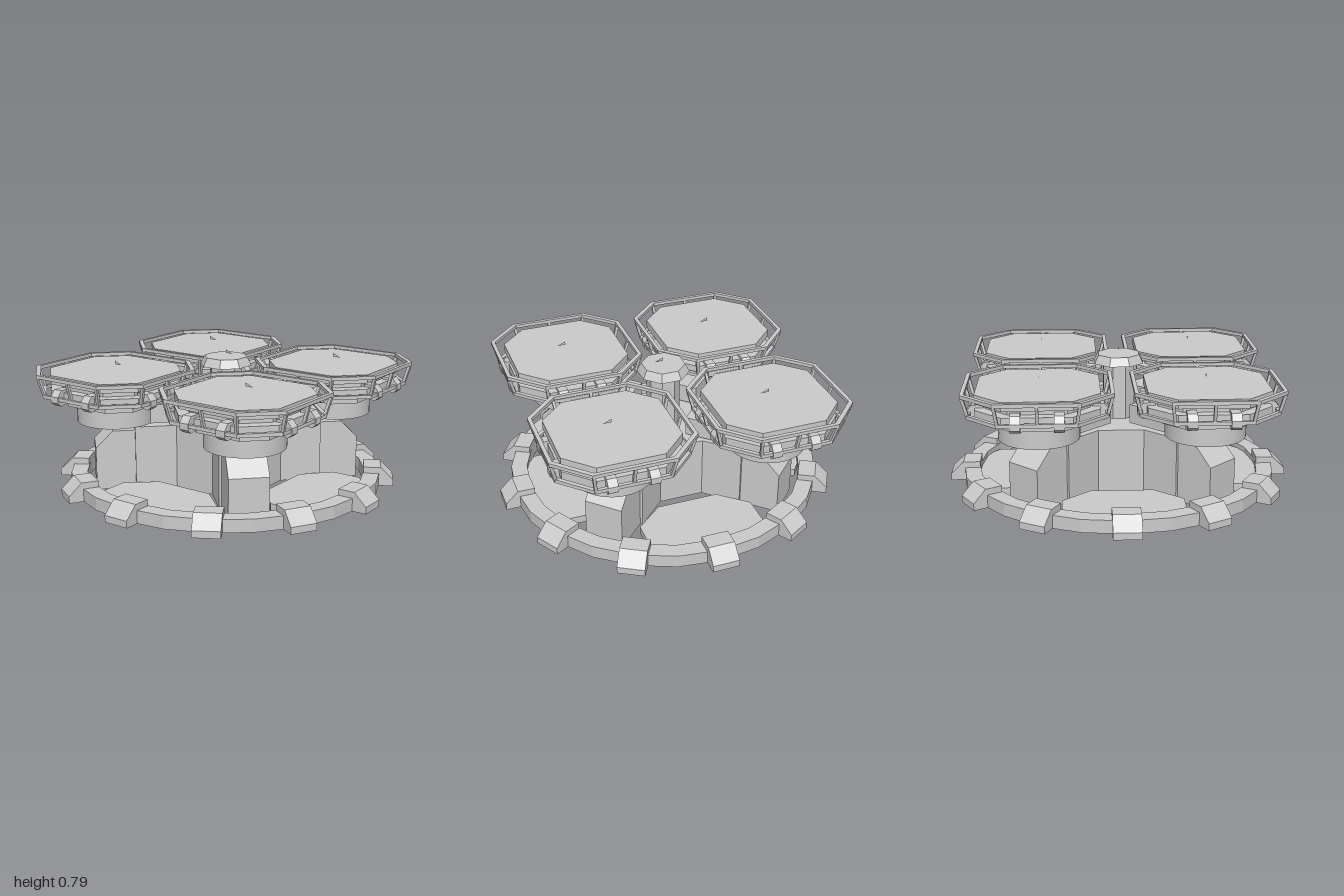
import * as THREE from 'three';

const flat = new THREE.MeshStandardMaterial({ color: 0xcccccc, flatShading: true, side: THREE.DoubleSide });
const smooth = new THREE.MeshStandardMaterial({ color: 0xcccccc, side: THREE.DoubleSide });
const HALF_TURN = Math.PI / 2;

function add(parent, name, geometry, material = flat) {
  const mesh = new THREE.Mesh(geometry, material);
  mesh.name = name;
  parent.add(mesh);
  return mesh;
}

const points = (list) => list.map(([x, y]) => new THREE.Vector2(x, y));

// Square of half-size h with its corners cut off
function octagon(h, cut = h * 0.44) {
  const k = h - cut;
  return [[h, -k], [h, k], [k, h], [-k, h], [-h, k], [-h, -k], [-k, -h], [k, -h]];
}

// Plan outline raised from y0 to y1, optionally hollow
function slab(outline, y0, y1, hole) {
  const shape = new THREE.Shape(points(outline));
  if (hole) shape.holes.push(new THREE.Path(points(hole)));
  return new THREE.ExtrudeGeometry(shape, { depth: y1 - y0, bevelEnabled: false })
    .rotateX(-HALF_TURN).translate(0, y0, 0);
}

// Side profile (radius, height) given a width and turned about the centre
function radial(profile, width, angle) {
  return new THREE.ExtrudeGeometry(new THREE.Shape(points(profile)), { depth: width, bevelEnabled: false })
    .translate(0, 0, -width / 2).rotateY(angle);
}

// Removes the faces lying on the ground, leaving a hollow shell
function openBottom(geometry) {
  const p = geometry.getAttribute('position').array;
  const kept = [];
  for (let i = 0; i < p.length; i += 9) {
    if (Math.max(p[i + 1], p[i + 4], p[i + 7]) > 1e-4) kept.push(...p.slice(i, i + 9));
  }
  const g = new THREE.BufferGeometry();
  g.setAttribute('position', new THREE.Float32BufferAttribute(kept, 3));
  g.computeVertexNormals();
  return g;
}

// Thin square bar between two points
function bar(a, b, t) {
  const d = new THREE.Vector3().subVectors(b, a);
  const g = new THREE.BoxGeometry(t, d.length(), t);
  g.applyQuaternion(new THREE.Quaternion().setFromUnitVectors(new THREE.Vector3(0, 1, 0), d.clone().normalize()));
  const mid = a.clone().add(b).multiplyScalar(0.5);
  return g.translate(mid.x, mid.y, mid.z);
}

// Small upright triangular marker
function marker(parent, y) {
  const g = new THREE.BufferGeometry();
  g.setAttribute('position', new THREE.Float32BufferAttribute([0, y, 0, 0, y, 0.05, 0, y + 0.022, 0], 3));
  g.computeVertexNormals();
  add(parent, 'marker', g);
}

function createPlatform() {
  const p = new THREE.Group();
  p.name = 'platform';
  add(p, 'drum', new THREE.CylinderGeometry(0.227, 0.227, 0.11, 40, 1, true).translate(0, 0.447, 0), smooth);
  add(p, 'neck', slab(octagon(0.25), 0.5, 0.55));
  add(p, 'lowerSlab', slab(octagon(0.335), 0.55, 0.605));
  add(p, 'core', slab(octagon(0.28), 0.605, 0.64));
  add(p, 'deck', slab(octagon(0.335), 0.64, 0.69));

  // Outward leaning railing
  const low = octagon(0.37, 0.165), high = octagon(0.4, 0.178);
  add(p, 'lowerRail', slab(octagon(0.38, 0.169), 0.562, 0.582, octagon(0.36, 0.161)));
  add(p, 'upperRail', slab(octagon(0.408, 0.18), 0.68, 0.7, octagon(0.386, 0.172)));
  const at = ([x, z], y) => new THREE.Vector3(x, y, z);
  low.forEach((c, i) => {
    add(p, 'railPost', bar(at(c, 0.573), at(high[i], 0.69), 0.017));
  });
  for (let i = 0; i < 4; i++) {
    const a = i * HALF_TURN;
    add(p, 'railPost', bar(at([0.367, 0], 0.573), at([0.398, 0], 0.69), 0.017).rotateY(a));
    // Two clips on each long side hold the lower rail
    for (const s of [-0.115, 0.115]) {
      const clip = radial([[0.29, 0.545], [0.36, 0.53], [0.385, 0.55], [0.385, 0.585], [0.355, 0.62], [0.29, 0.62]], 0.055, 0);
      add(p, 'railClip', clip.translate(0, 0, s).rotateY(a));
    }
  }
  marker(p, 0.72);
  return p;
}

export function createModel() {
  const model = new THREE.Group();
  model.name = 'multiPadStation';

  // Hollow ground ring and its twelve feet
  const ring = points([[0.83, 0], [0.83, 0.075], [0.925, 0.075], [0.925, 0]]);
  add(model, 'groundRing', new THREE.LatheGeometry(ring, 24));
  for (let i = 0; i < 12; i++) {
    const foot = radial([[0.825, 0], [1, 0], [1, 0.04], [0.925, 0.112], [0.825, 0.112]], 0.155, i * Math.PI / 6);
    add(model, 'foot', openBottom(foot));
  }

  // Hollow body: four broad arms along the diagonals
  const body = [];
  for (let i = 0; i < 4; i++) {
    const c = Math.round(Math.cos(i * HALF_TURN)), s = Math.round(Math.sin(i * HALF_TURN));
    for (const [x, y] of [[0.31, 0.13], [0.48, 0.3], [0.3, 0.48], [0.13, 0.31]]) body.push([x * c - y * s, x * s + y * c]);
  }
  add(model, 'body', openBottom(slab(body, 0, 0.372)));

  // Central column with its cap
  const turn = Math.PI / 8, k = 1 / Math.cos(turn);
  add(model, 'column', new THREE.CylinderGeometry(0.09 * k, 0.09 * k, 0.34, 8).rotateY(turn).translate(0, 0.535, 0));
  add(model, 'columnCap', new THREE.CylinderGeometry(0.118 * k, 0.142 * k, 0.05, 8).rotateY(turn).translate(0, 0.723, 0));
  marker(model, 0.765);

  const plate = [[0.18, 0.41], [0.34, 0.55], [0.34, 0.73], [0.2, 0.84], [-0.2, 0.84], [-0.34, 0.73], [-0.34, 0.55], [-0.18, 0.41]];
  for (let i = 0; i < 4; i++) {
    // Floor plate between two piers
    add(model, 'floorPlate', openBottom(slab(plate, 0, 0.045).rotateY(i * HALF_TURN)));

    // Pier, connecting arm and platform on the diagonal
    const a = Math.PI / 4 + i * HALF_TURN;
    add(model, 'pier', openBottom(radial([[0.54, 0], [0.78, 0], [0.78, 0.25], [0.68, 0.35], [0.54, 0.35]], 0.225, a)));
    add(model, 'connectingArm', radial([[0.2, 0.39], [0.5, 0.39], [0.5, 0.5], [0.2, 0.5]], 0.25, a));
    const platform = createPlatform();
    platform.position.set(0.46 * Math.sign(Math.cos(a)), 0, 0.46 * Math.sign(Math.sin(a)));
    model.add(platform);
  }
  return model;
}
